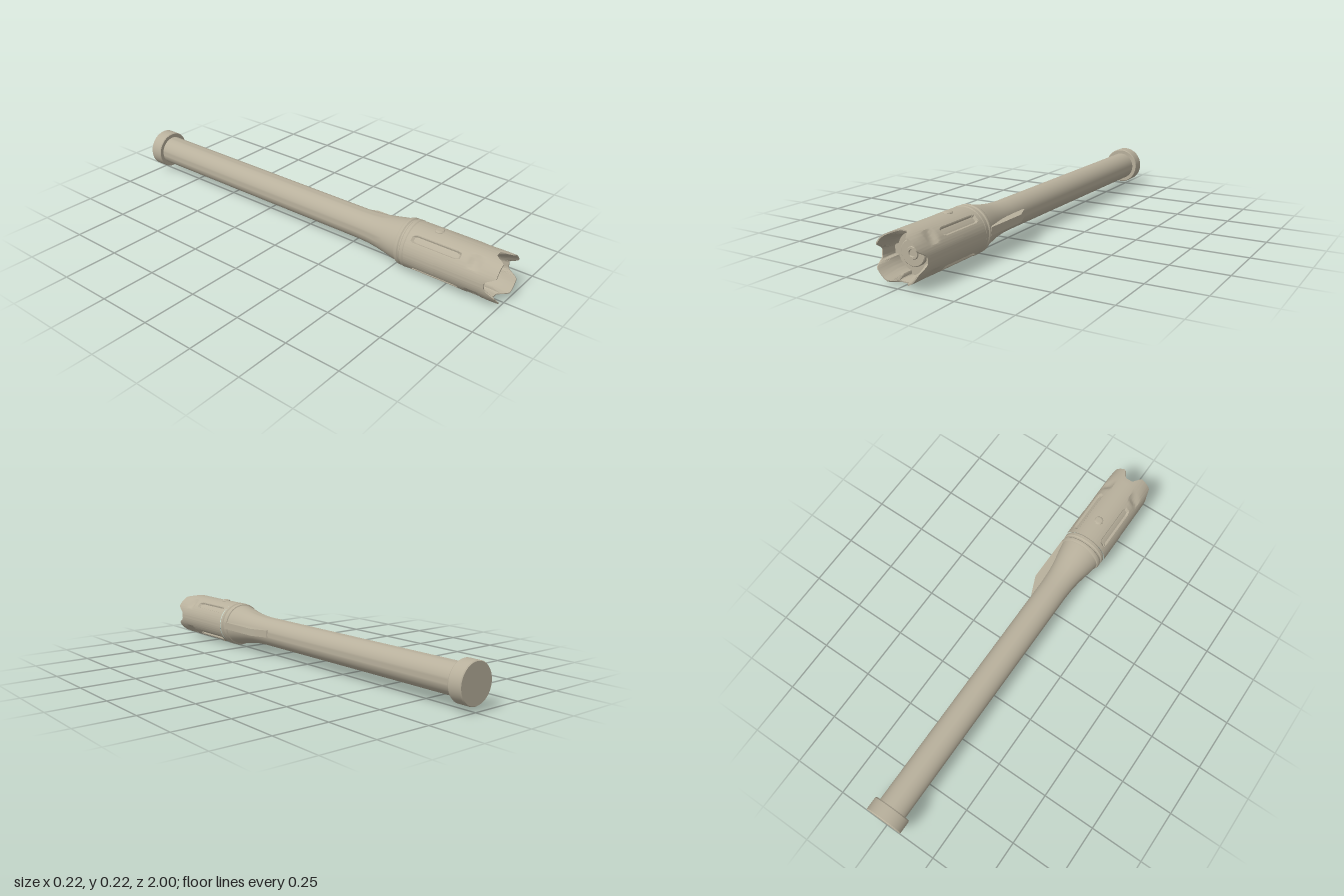
import * as THREE from 'three';
import { toCreasedNormals } from 'three/addons/utils/BufferGeometryUtils.js';

const AXIS_Y = 0.111;
const HEAD_R = 0.103;
const metal = new THREE.MeshStandardMaterial({ color: 0xb8b09c });
metal.name = 'warmGrey';

function part(name, geometry, crease = 0.5) {
  const mesh = new THREE.Mesh(toCreasedNormals(geometry, crease), metal);
  mesh.name = name;
  return mesh;
}

// Turned part along z, from [radius, z] points ordered back to front
function turned(name, profile, segments = 48) {
  const g = new THREE.LatheGeometry(profile.map(([r, z]) => new THREE.Vector2(r, z)), segments);
  return part(name, g.rotateX(Math.PI / 2));
}

const smooth = THREE.MathUtils.smoothstep;
const QUARTER = Math.PI / 2;

// Arc distance to the nearest of four directions, starting at the given offset
function arcTo(theta, offset) {
  const a = theta - offset;
  return Math.abs(a - Math.round(a / QUARTER) * QUARTER) * HEAD_R;
}

// Outer radius of the head, with long slots and scallops on the diagonals
function outerRadius(theta, z) {
  const u = arcTo(theta, Math.PI / 4);
  const past = Math.max(0, Math.abs(z - 0.715) - 0.095);
  const slot = 0.009 * (1 - smooth(Math.hypot(u, past), 0.0135, 0.0185));
  const width = Math.max(0, 1 - (u / 0.034) ** 2);
  const scallop = 0.011 * width * smooth(z, 0.86, 0.885) * (1 - smooth(z, 0.89, 0.94));
  return HEAD_R - slot - scallop;
}

// Front edge: four teeth separated by rounded notches
const frontEdge = theta => 0.955 + 0.045 * smooth(arcTo(theta, 0), 0.012, 0.052);

// Crenellated hollow head, swept as rings from the back over the rim to the floor
function headGeometry() {
  const N = 192;
  const rings = [];
  for (let i = 0; i <= 35; i++) {
    const z = 0.58 + i * 0.01;
    rings.push(t => [outerRadius(t, z), z]);
  }
  const inner = t => 0.093 - 0.014 * smooth(arcTo(t, 0), 0.022, 0.029);
  rings.push(t => [HEAD_R, 0.93 + (frontEdge(t) - 0.93) * 0.5]);
  rings.push(t => [HEAD_R - 0.001, frontEdge(t)]);
  rings.push(t => [HEAD_R - 0.006, frontEdge(t)]);
  rings.push(t => [inner(t), 0.935]);
  rings.push(t => [inner(t), 0.89]);
  rings.push(() => [0.05, 0.89]);

  const pos = [], idx = [];
  rings.forEach((ring, j) => {
    for (let i = 0; i <= N; i++) {
      const t = (i / N) * Math.PI * 2;
      const [r, z] = ring(t);
      pos.push(r * Math.cos(t), r * Math.sin(t), z);
      if (j && i < N) {
        const b = j * (N + 1) + i, a = b - N - 1;
        idx.push(a, a + 1, b, a + 1, b + 1, b);
      }
    }
  });
  const g = new THREE.BufferGeometry();
  g.setAttribute('position', new THREE.Float32BufferAttribute(pos, 3));
  g.setIndex(idx);
  return g;
}

export function createModel() {
  const model = new THREE.Group();
  model.name = 'baton';
  const body = new THREE.Group();
  body.name = 'body';
  body.position.y = AXIS_Y;
  model.add(body);

  // Handle and its flare
  body.add(turned('shaft', [
    [0.068, -0.94], [0.068, 0.30], [0.0705, 0.36], [0.076, 0.41],
    [0.084, 0.455], [0.092, 0.495], [0.098, 0.53],
  ]));
  body.add(turned('endCap', [
    [0, -1], [0.086, -1], [0.089, -0.996], [0.089, -0.94], [0.086, -0.935], [0.066, -0.935],
  ]));

  // Double bead between flare and head
  body.add(turned('collar', [
    [0.09, 0.525], [0.102, 0.53], [0.105, 0.537], [0.105, 0.546], [0.101, 0.551],
    [0.101, 0.557], [0.106, 0.562], [0.106, 0.575], [0.103, 0.58], [0.09, 0.583],
  ]));

  const head = new THREE.Group();
  head.name = 'head';
  head.scale.x = 1.045;
  body.add(head);
  head.add(part('crown', headGeometry(), 0.45));

  // Stepped lens at the bottom of the bore
  head.add(turned('lens', [
    [0.054, 0.885], [0.054, 0.905], [0.051, 0.908], [0.026, 0.908],
    [0.024, 0.913], [0.015, 0.913], [0.013, 0.908], [0, 0.908],
  ]));

  // Thin raised panels on four sides, between the slots
  for (let i = 0; i < 4; i++) {
    const half = 0.4;
    const g = new THREE.CylinderGeometry(0.1042, 0.1042, 0.145, 16, 1, true, -half, half * 2);
    g.rotateX(QUARTER).translate(0, 0, 0.655).rotateZ(i * QUARTER);
    const panel = part('sidePanel', g);
    panel.material = metal;
    head.add(panel);
  }

  // Buttons above and below
  for (const side of [1, -1]) {
    const g = new THREE.LatheGeometry([
      [0.021, 0.098], [0.021, 0.1045], [0.017, 0.1085], [0.01, 0.1105], [0, 0.111],
    ].map(([r, y]) => new THREE.Vector2(r, y)), 24);
    if (side < 0) g.rotateZ(Math.PI);
    const button = part('button', g);
    button.position.z = 0.685;
    body.add(button);
  }

  // Fin along the left of the flare
  const outline = new THREE.Shape([
    [0.22, 0.055], [0.54, 0.055], [0.54, 0.105], [0.31, 0.105], [0.225, 0.07],
  ].map(([z, x]) => new THREE.Vector2(z, x)));
  const fin = new THREE.ExtrudeGeometry(outline, { depth: 0.034, bevelEnabled: false });
  fin.translate(0, 0, -0.012);
  fin.applyMatrix4(new THREE.Matrix4().makeBasis(
    new THREE.Vector3(0, 0, 1), new THREE.Vector3(1, 0, 0), new THREE.Vector3(0, 1, 0)));
  body.add(part('fin', fin));

  return model;
}
